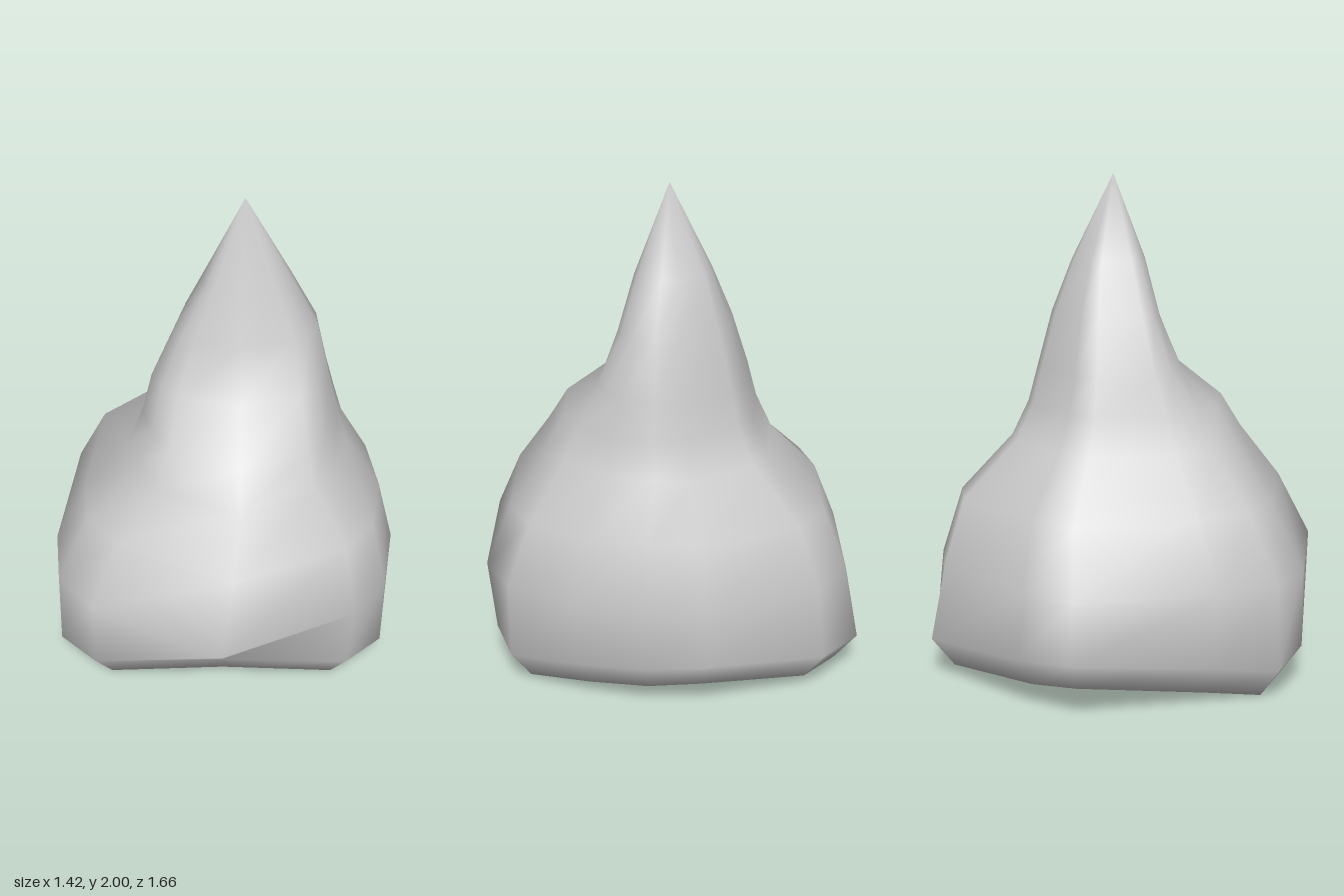
import * as THREE from 'three';

// Corners of the base, from the front (+z) round towards +x:
// direction in degrees, radius at the widest level, radius of the skirt, height of the lower rim
const corners = [
  [0, .83, .64, .13], [42, .79, .76, .04], [58, .78, .78, .02], [81, .72, .68, .06],
  [105, .69, .67, .09], [125, .69, .69, .11], [164, .76, .79, .05], [181, .77, .83, .04],
  [220, .74, .77, .09], [237, .78, .82, .12], [281, .72, .70, .04], [300, .78, .79, 0],
  [317, .77, .77, .03],
];

// Spire sections: height, then reach to +x, -x, +z and -z from the leaning axis
const spire = [
  [.94, .44, .46, .56, .42],
  [1.08, .40, .40, .47, .35],
  [1.23, .36, .36, .28, .31],
  [1.45, .31, .26, .18, .25],
  [1.66, .20, .15, .13, .17],
];

// Rules turning a corner into [radius, height] for each level of the base
const baseLevels = [
  ([, , skirt, rim]) => [skirt * 0.89, rim],
  ([, , skirt, rim]) => [skirt, rim + 0.12],
  ([, wide]) => [wide, 0.46],
  ([, wide]) => [wide * 0.86, 0.72],
];

// Loft all sections, closing the underside and the peak with fans
function rockGeometry() {
  const n = corners.length;
  const directions = corners.map(([deg]) => {
    const a = THREE.MathUtils.degToRad(deg);
    return [Math.sin(a), Math.cos(a)];
  });
  const positions = [];
  for (const level of baseLevels) {
    corners.forEach((corner, j) => {
      const [r, y] = level(corner);
      const lean = Math.max(0, (y - 0.46) / 0.5);
      positions.push(directions[j][0] * r + 0.065 * lean, y, directions[j][1] * r - 0.03 * lean);
    });
  }
  for (const [y, right, left, front, back] of spire) {
    for (const [s, c] of directions) {
      positions.push(0.065 + s * (s > 0 ? right : left), y, -0.03 + c * (c > 0 ? front : back));
    }
  }
  const top = positions.length / 3 - n;
  const base = top + n;
  const peak = base + 1;
  positions.push(0, 0.11, -0.05, 0.08, 2, -0.03);

  const index = [];
  for (let j = 0; j < n; j++) {
    const k = (j + 1) % n;
    for (let o = 0; o < top; o += n) {
      index.push(o + j, o + k, o + n + k, o + j, o + n + k, o + n + j);
    }
    index.push(base, k, j, top + j, top + k, peak);
  }
  const geometry = new THREE.BufferGeometry();
  geometry.setAttribute('position', new THREE.Float32BufferAttribute(positions, 3));
  geometry.setIndex(index);
  geometry.computeVertexNormals();
  return geometry;
}

export function createModel() {
  const group = new THREE.Group();
  group.name = 'pointedRock';
  const rock = new THREE.Mesh(rockGeometry(), new THREE.MeshStandardMaterial({ color: 0xcccccc }));
  rock.name = 'rock';
  group.add(rock);
  return group;
}
